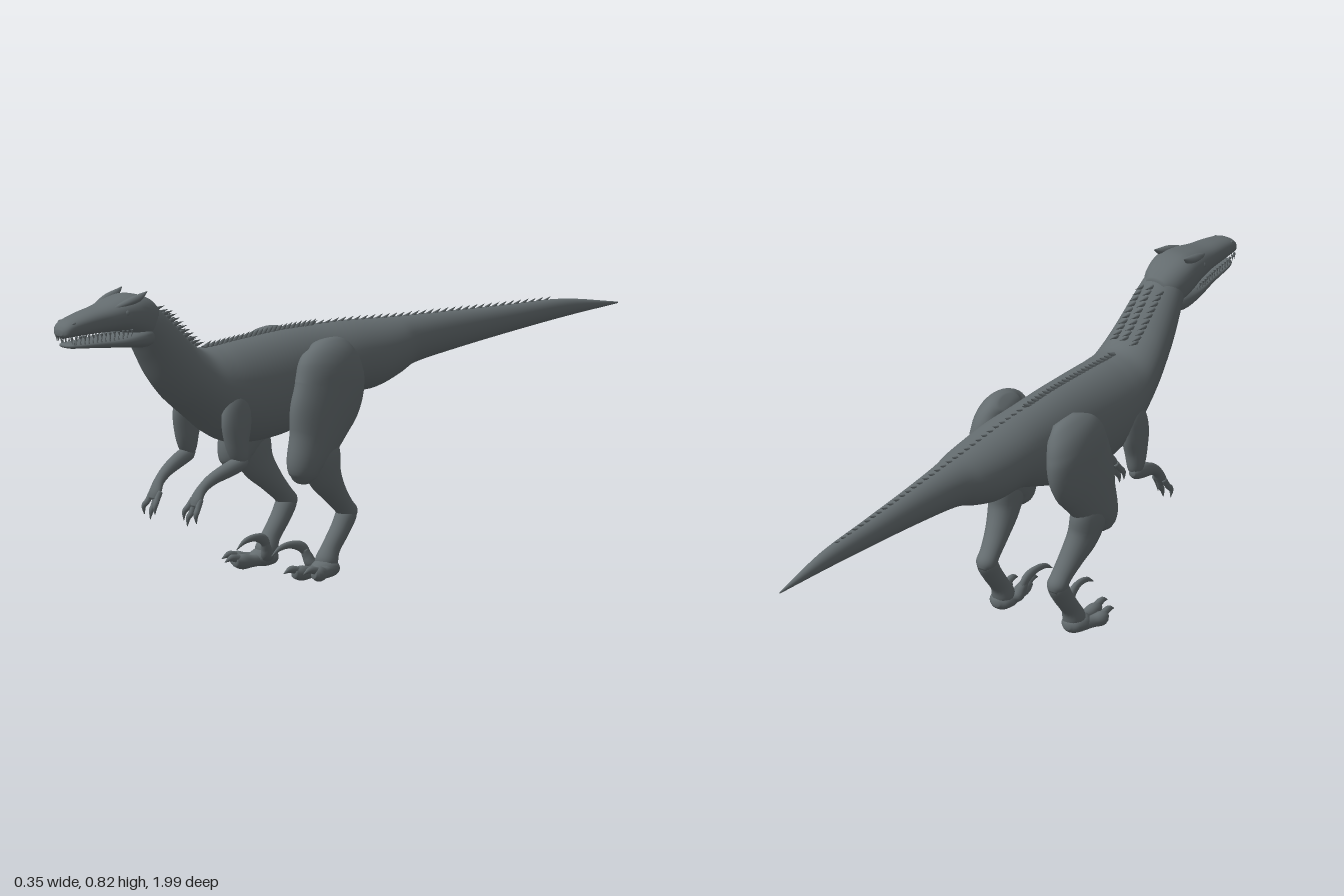
import * as THREE from 'three';
import { mergeGeometries } from 'three/addons/utils/BufferGeometryUtils.js';

const V = (x, y, z) => new THREE.Vector3(x, y, z);

// Smooth skin over elliptical sections [x, y, z, halfWidth, halfDepth].
// upright keeps every section in a vertical plane; power < 1 makes it boxier.
function loft(rows, { seg = 20, sub = 5, upright = false, power = 1 } = {}) {
  const path = new THREE.CatmullRomCurve3(rows.map(r => V(r[0], r[1], r[2])), false, 'catmullrom', 0.5);
  const size = new THREE.CatmullRomCurve3(rows.map(r => V(r[3], r[4], 0)), false, 'catmullrom', 0.5);
  const n = (rows.length - 1) * sub, pos = [], idx = [];
  const pw = v => Math.sign(v) * Math.abs(v) ** power;
  for (let i = 0; i <= n; i++) {
    const c = path.getPoint(i / n), r = size.getPoint(i / n);
    const T = upright ? V(0, 0, 1) : path.getTangent(i / n);
    const S = V(1, 0, 0).addScaledVector(T, -T.x).normalize();
    const N = T.clone().cross(S);
    for (let j = 0; j < seg; j++) {
      const a = j / seg * Math.PI * 2;
      const p = c.clone().addScaledVector(S, pw(Math.cos(a)) * Math.max(r.x, 0.0005))
        .addScaledVector(N, pw(Math.sin(a)) * Math.max(r.y, 0.0005));
      pos.push(p.x, p.y, p.z);
    }
  }
  for (let i = 0; i < n; i++) for (let j = 0; j < seg; j++) {
    const k = (j + 1) % seg, a = i * seg + j, b = i * seg + k, c = b + seg, d = a + seg;
    idx.push(a, b, c, a, c, d);
  }
  // end caps
  const first = pos.length / 3, last = first + 1;
  pos.push(...path.getPoint(0).toArray(), ...path.getPoint(1).toArray());
  for (let j = 0; j < seg; j++) {
    const k = (j + 1) % seg;
    idx.push(first, k, j, last, n * seg + j, n * seg + k);
  }
  const g = new THREE.BufferGeometry();
  g.setAttribute('position', new THREE.Float32BufferAttribute(pos, 3));
  g.setIndex(idx);
  g.computeVertexNormals();
  return g;
}

// Straight pointed cone between two points
function spike(from, to, r, flat = 1) {
  const d = to.clone().sub(from), len = d.length();
  const g = new THREE.ConeGeometry(r, len, 6);
  g.translate(0, len / 2, 0);
  g.applyQuaternion(new THREE.Quaternion().setFromUnitVectors(V(0, 1, 0), d.normalize()));
  g.scale(flat, 1, 1);
  return g.translate(from.x, from.y, from.z);
}

// Vertical sections [z, top, bottom, halfWidth]
const BODY = [
  [-0.995, 0.559, 0.555, 0.002], [-0.8, 0.592, 0.545, 0.02], [-0.6, 0.602, 0.53, 0.031],
  [-0.4, 0.612, 0.512, 0.043], [-0.25, 0.62, 0.495, 0.059], [-0.18, 0.624, 0.472, 0.078],
  [-0.1, 0.63, 0.45, 0.09], [0, 0.637, 0.445, 0.095], [0.1, 0.64, 0.41, 0.097],
  [0.2, 0.642, 0.375, 0.102], [0.3, 0.639, 0.364, 0.106], [0.4, 0.634, 0.372, 0.108],
  [0.46, 0.63, 0.398, 0.106], [0.51, 0.634, 0.435, 0.1], [0.56, 0.665, 0.472, 0.092],
  [0.6, 0.702, 0.503, 0.084], [0.65, 0.75, 0.556, 0.074], [0.695, 0.785, 0.625, 0.063],
  [0.72, 0.79, 0.665, 0.054], [0.74, 0.77, 0.69, 0.035]];
const SKULL = [
  [0.665, 0.765, 0.69, 0.035], [0.7, 0.792, 0.68, 0.057], [0.75, 0.807, 0.697, 0.065],
  [0.8, 0.802, 0.714, 0.06], [0.86, 0.788, 0.719, 0.048], [0.92, 0.778, 0.72, 0.041],
  [0.97, 0.766, 0.72, 0.034], [0.99, 0.755, 0.72, 0.027], [0.999, 0.742, 0.727, 0.013]];
const JAW = [
  [0.68, 0.72, 0.672, 0.04], [0.72, 0.725, 0.664, 0.06], [0.76, 0.718, 0.668, 0.061],
  [0.81, 0.708, 0.674, 0.053], [0.87, 0.705, 0.681, 0.042], [0.94, 0.704, 0.688, 0.034],
  [0.97, 0.704, 0.691, 0.026], [0.982, 0.701, 0.695, 0.012]];
const upright = (rows, o) => loft(rows.map(([z, t, b, w]) => [0, (t + b) / 2, z, w, (t - b) / 2]),
  { upright: true, ...o });

// Linear lookup of a column at a given z
function at(rows, z, col) {
  const i = Math.max(1, rows.findIndex(r => r[0] >= z));
  const a = rows[i - 1], b = rows[i];
  return THREE.MathUtils.lerp(a[col], b[col], (z - a[0]) / (b[0] - a[0]));
}

export function createModel() {
  const model = new THREE.Group();
  const hide = new THREE.MeshStandardMaterial({ color: 0x646c6f });
  hide.name = 'slateHide';
  const add = (name, geo, parent = model) => {
    const m = new THREE.Mesh(geo, hide);
    m.name = name;
    parent.add(m);
  };

  add('bodyNeckAndTail', upright(BODY, { seg: 36, sub: 6 }));
  add('upperHead', upright(SKULL, { seg: 32, power: 0.8 }));
  add('lowerJaw', upright(JAW, { seg: 28, power: 0.8 }));

  // Teeth along both jaws, brow horns, eyes and nostrils
  const teeth = [];
  for (const s of [-1, 1]) {
    for (let i = 0; i < 15; i++) {
      const z = 0.79 + i * 0.0135, len = 0.013 + (i % 3) * 0.003;
      const x = s * at(SKULL, z, 3) * 0.9;
      teeth.push(spike(V(x, 0.724, z), V(x * 1.02, 0.724 - len, z - 0.002), 0.004));
      const zl = Math.min(z - 0.005, 0.965), xl = s * at(JAW, zl, 3) * 0.84;
      teeth.push(spike(V(xl, 0.699, zl), V(xl, 0.713, zl), 0.0035));
    }
    for (const x of [0.004, 0.013]) teeth.push(spike(V(s * x, 0.727, 0.988), V(s * x, 0.709, 0.986), 0.004));
    const side = s > 0 ? 'left' : 'right';
    add(side + 'BrowHorn', loft([[s * 0.036, 0.782, 0.83, 0.006, 0.006], [s * 0.042, 0.793, 0.79, 0.012, 0.01],
      [s * 0.044, 0.801, 0.755, 0.01, 0.01], [s * 0.047, 0.815, 0.728, 0.001, 0.001]], { seg: 10 }));
    add(side + 'Eye', new THREE.SphereGeometry(0.011, 14, 10).translate(s * 0.049, 0.768, 0.805));
    add(side + 'Nostril', new THREE.SphereGeometry(0.006, 10, 8).scale(0.7, 0.7, 1.4).translate(s * 0.026, 0.758, 0.968));
  }
  add('teeth', mergeGeometries(teeth));

  // Quills in three rows on the neck, then a ridge down the back and tail
  const quills = [];
  for (const x of [-0.03, 0, 0.03]) for (let i = 0; i < 10; i++) {
    const z = 0.545 + i * 0.0125, k = x / at(BODY, z, 3);
    const mid = (at(BODY, z, 1) + at(BODY, z, 2)) / 2;
    const y = mid + (at(BODY, z, 1) - mid) * Math.sqrt(1 - k * k) - 0.004;
    quills.push(spike(V(x, y, z), V(x * 1.05, y + 0.006, z - 0.038), 0.007, 0.7));
  }
  for (let z = 0.48; z > 0.1; z -= 0.017) {
    const y = at(BODY, z, 1) - 0.004;
    quills.push(spike(V(0, y, z), V(0, y + 0.018, z - 0.026), 0.009));
  }
  for (let z = 0.1; z > -0.74; z -= 0.026) {
    const y = at(BODY, z, 1) - 0.003;
    quills.push(spike(V(0, y, z), V(0, y + 0.012, z - 0.024), 0.006, 0.8));
  }
  add('backQuills', mergeGeometries(quills));

  for (const s of [-1, 1]) {
    const side = s > 0 ? 'left' : 'right';
    const leg = new THREE.Group(), arm = new THREE.Group();
    leg.name = side + 'Leg';
    arm.name = side + 'Arm';
    model.add(leg, arm);
    const limb = (name, parent, rows, o) => add(name, loft(rows.map(([x, ...r]) => [s * x, ...r]), o), parent);

    // Hind leg
    limb('thigh', leg, [[0.085, 0.61, 0.14, 0.02, 0.04], [0.105, 0.59, 0.14, 0.046, 0.082],
      [0.119, 0.55, 0.145, 0.054, 0.106], [0.124, 0.49, 0.155, 0.053, 0.115], [0.126, 0.43, 0.185, 0.051, 0.105],
      [0.128, 0.37, 0.212, 0.047, 0.082], [0.129, 0.315, 0.242, 0.043, 0.056],
      [0.128, 0.28, 0.245, 0.034, 0.038], [0.127, 0.262, 0.242, 0.015, 0.015]], { seg: 28 });
    limb('shin', leg, [[0.128, 0.385, 0.215, 0.025, 0.03], [0.13, 0.335, 0.195, 0.04, 0.062],
      [0.126, 0.275, 0.172, 0.038, 0.05], [0.118, 0.225, 0.132, 0.032, 0.034], [0.113, 0.185, 0.095, 0.028, 0.026],
      [0.112, 0.16, 0.073, 0.027, 0.026], [0.112, 0.145, 0.062, 0.014, 0.014]]);
    limb('lowerFootBone', leg, [[0.112, 0.18, 0.07, 0.014, 0.014], [0.112, 0.16, 0.078, 0.027, 0.027],
      [0.112, 0.12, 0.102, 0.026, 0.026], [0.112, 0.075, 0.135, 0.025, 0.025],
      [0.112, 0.04, 0.152, 0.03, 0.03], [0.112, 0.015, 0.16, 0.02, 0.016]]);
    limb('footPad', leg, [[0.112, 0.026, 0.118, 0.01, 0.01], [0.113, 0.025, 0.135, 0.03, 0.022],
      [0.114, 0.025, 0.17, 0.035, 0.024], [0.115, 0.02, 0.2, 0.015, 0.012]]);
    for (const [name, x0, x1, z1] of [['middleToe', 0.106, 0.11, 0.265], ['outerToe', 0.13, 0.152, 0.235]]) {
      const dz = z1 - 0.16;
      limb(name, leg, [[x0, 0.022, 0.15, 0.015, 0.018], [(x0 + x1) / 2, 0.02, 0.16 + dz * 0.4, 0.016, 0.016],
        [x1, 0.022, 0.16 + dz * 0.75, 0.018, 0.02], [x1, 0.025, z1, 0.01, 0.013]], { seg: 14 });
      limb(name + 'Claw', leg, [[x1, 0.03, z1 - 0.015, 0.01, 0.011], [x1, 0.036, z1 + 0.012, 0.008, 0.009],
        [x1, 0.028, z1 + 0.036, 0.001, 0.001]], { seg: 10 });
    }
    limb('innerToe', leg, [[0.1, 0.03, 0.15, 0.014, 0.014], [0.084, 0.034, 0.175, 0.016, 0.016],
      [0.077, 0.055, 0.185, 0.013, 0.014], [0.074, 0.074, 0.195, 0.009, 0.01]], { seg: 14 });
    limb('sickleClaw', leg, [[0.076, 0.055, 0.183, 0.009, 0.011], [0.072, 0.08, 0.2, 0.01, 0.014],
      [0.068, 0.09, 0.235, 0.008, 0.01], [0.066, 0.085, 0.272, 0.006, 0.007],
      [0.065, 0.067, 0.302, 0.001, 0.001]], { seg: 12 });

    // Arm
    limb('upperArm', arm, [[0.082, 0.53, 0.45, 0.012, 0.02], [0.088, 0.49, 0.45, 0.023, 0.042],
      [0.091, 0.44, 0.452, 0.026, 0.048], [0.093, 0.39, 0.452, 0.025, 0.037],
      [0.096, 0.35, 0.446, 0.021, 0.025], [0.097, 0.328, 0.446, 0.011, 0.012]]);
    limb('forearm', arm, [[0.099, 0.338, 0.425, 0.009, 0.009], [0.098, 0.335, 0.442, 0.018, 0.019],
      [0.094, 0.323, 0.48, 0.019, 0.02], [0.085, 0.303, 0.53, 0.016, 0.016], [0.08, 0.28, 0.563, 0.014, 0.013],
      [0.077, 0.255, 0.58, 0.019, 0.012], [0.077, 0.235, 0.588, 0.014, 0.008]], { seg: 16 });
    for (const [x, y, z] of [[0.097, 0.195, 0.6], [0.069, 0.186, 0.606], [0.054, 0.2, 0.604]]) {
      const m = 0.077 + (x - 0.077) * 0.7;
      limb('finger', arm, [[m, 0.255, 0.578, 0.006, 0.008], [m + (x - m) * 0.3, y + 0.036, 0.592, 0.0075, 0.008],
        [x, y + 0.022, 0.602, 0.006, 0.007], [x, y, z, 0.0008, 0.0008]], { seg: 10 });
    }
  }
  return model;
}
